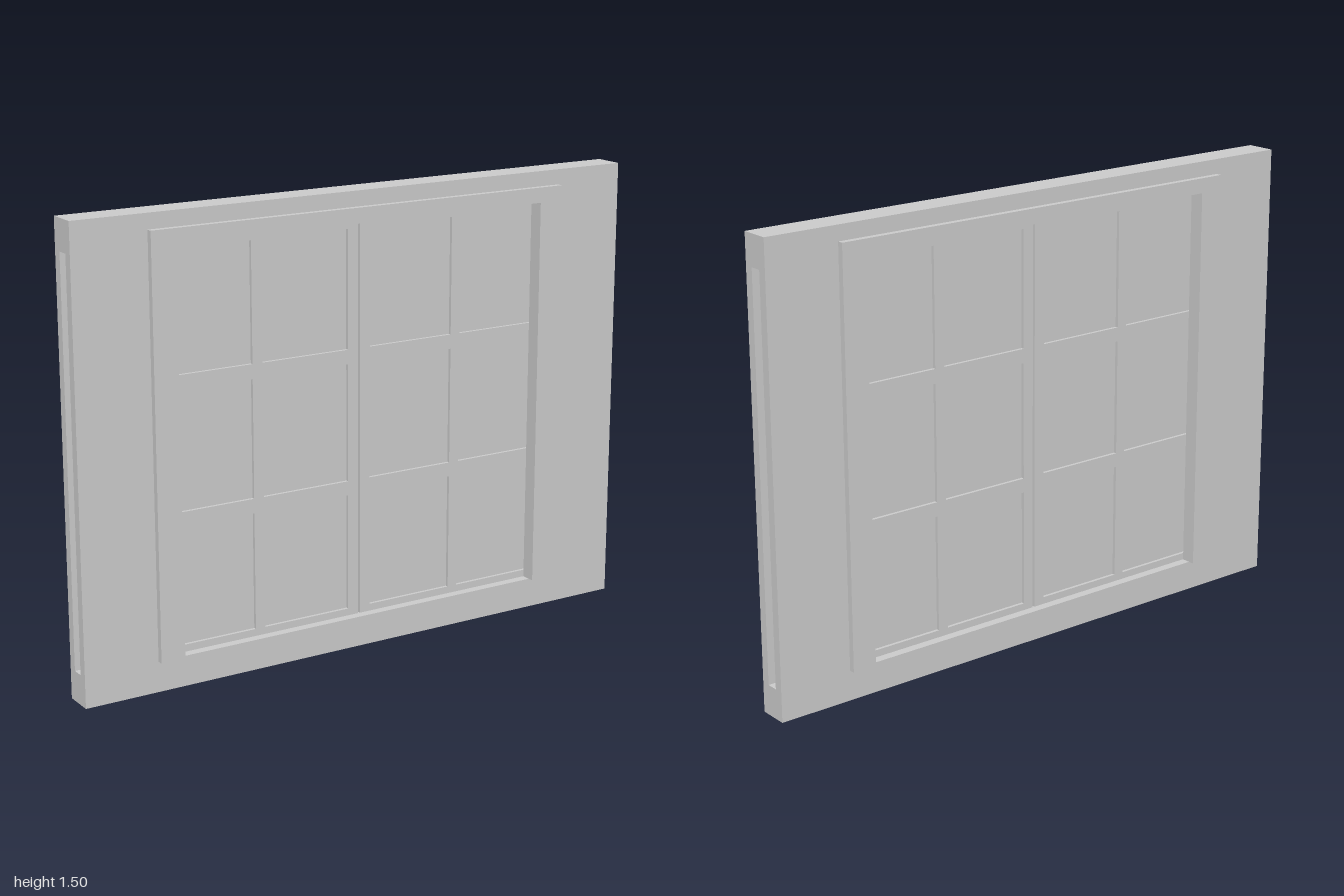
import * as THREE from 'three';

const material = new THREE.MeshStandardMaterial({ color: 0xcccccc });

// Main dimensions
const W = 1, H = 1.5, T = 0.05;              // wall half width, height, half depth
const OPEN = 0.667, SILL = 0.1, HEAD = 1.4;  // door opening
const SLOT = 0.02;                           // pocket half depth

// Box given by its minimum and maximum corners
function box(name, x0, x1, y0, y1, z0, z1) {
  const mesh = new THREE.Mesh(new THREE.BoxGeometry(x1 - x0, y1 - y0, z1 - z0), material);
  mesh.position.set((x0 + x1) / 2, (y0 + y1) / 2, (z0 + z1) / 2);
  mesh.name = name;
  return mesh;
}

function tracePolygon(path, points) {
  points.forEach(([x, y], i) => (i ? path.lineTo(x, y) : path.moveTo(x, y)));
  path.closePath();
  return path;
}

const rect = (x0, x1, y0, y1) => [[x0, y0], [x1, y0], [x1, y1], [x0, y1]];

function extrude(name, shape, z0, z1) {
  const geometry = new THREE.ExtrudeGeometry(shape, { depth: z1 - z0, bevelEnabled: false });
  geometry.translate(0, 0, z0);
  const mesh = new THREE.Mesh(geometry, material);
  mesh.name = name;
  return mesh;
}

// Wall with an opening and a pocket running out through both ends
function createWall() {
  const wall = new THREE.Group();
  wall.name = 'wall';
  wall.add(box('wallBase', -W, W, 0, SILL, -T, T));
  wall.add(box('wallHeader', -W, W, HEAD, H, -T, T));
  for (const x of [-W, OPEN]) {
    for (const z of [-T, SLOT]) {
      wall.add(box('pocketSide', x, x + W - OPEN, SILL, HEAD, z, z + T - SLOT));
    }
  }
  return wall;
}

// Three-sided casing around the opening
function createTrim(z0, z1, name) {
  const outer = 0.75, top = 1.45;
  const shape = tracePolygon(new THREE.Shape(), [
    [-outer, SILL], [-OPEN, SILL], [-OPEN, HEAD], [OPEN, HEAD],
    [OPEN, SILL], [outer, SILL], [outer, top], [-outer, top],
  ]);
  return extrude(name, shape, z0, z1);
}

// Sliding leaf: a frame with two by three recessed panes
function createLeaf(side) {
  const leaf = new THREE.Group();
  leaf.name = side > 0 ? 'leftDoor' : 'rightDoor';
  const inner = 0.004, outer = 0.735, half = 0.0195;
  const span = (a, b) => (side > 0 ? [a, b] : [-b, -a]);
  const shape = tracePolygon(new THREE.Shape(), rect(...span(inner, outer), SILL, HEAD));
  const paneHeight = 0.386, pitch = 0.4335;
  for (const [a, b] of [[0.041, 0.352], [0.387, 0.698]]) {
    for (let row = 0; row < 3; row++) {
      const y = 0.1235 + row * pitch;
      shape.holes.push(tracePolygon(new THREE.Path(), rect(...span(a, b), y, y + paneHeight)));
      leaf.add(box('doorPane', ...span(a, b), y, y + paneHeight, -0.009, 0.009));
    }
  }
  leaf.add(extrude('doorFrame', shape, -half, half));
  return leaf;
}

export function createModel() {
  const model = new THREE.Group();
  model.name = 'pocketDoorWall';
  model.add(createWall());
  model.add(createTrim(T, 0.07, 'frontTrim'));
  model.add(createTrim(-0.07, -T, 'backTrim'));
  model.add(createLeaf(1), createLeaf(-1));
  return model;
}
